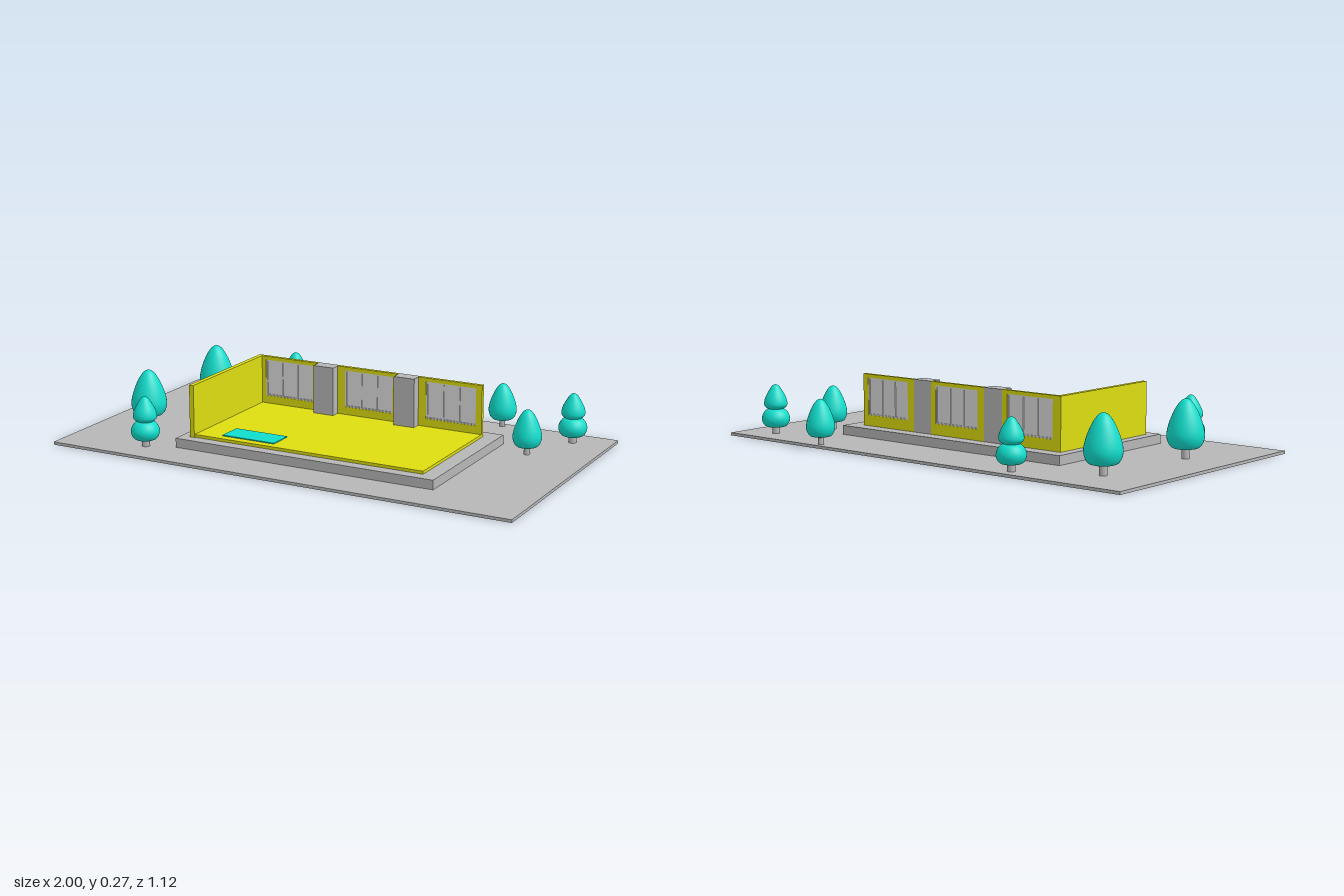
import * as THREE from 'three';

const mat = (name, color) => {
  const m = new THREE.MeshStandardMaterial({ color });
  m.name = name;
  return m;
};

export function createModel() {
  const grey = mat('stone grey', 0xb6b6b6);
  const yellow = mat('wall yellow', 0xdddd11);
  const teal = mat('leaf teal', 0x11ddcc);
  const pale = mat('window grey', 0xdddddd);
  const model = new THREE.Group();
  model.name = 'pavilion';

  const add = (parent, name, geometry, material) => {
    const mesh = new THREE.Mesh(geometry, material);
    mesh.name = name;
    parent.add(mesh);
    return mesh;
  };
  // Box given by its limits on each axis
  const box = (parent, name, material, [x0, x1], [y0, y1], [z0, z1]) => {
    const g = new THREE.BoxGeometry(x1 - x0, y1 - y0, z1 - z0);
    g.translate((x0 + x1) / 2, (y0 + y1) / 2, (z0 + z1) / 2);
    return add(parent, name, g, material);
  };

  // Ground and house base
  box(model, 'ground', grey, [-1, 1], [0, 0.012], [-0.535, 0.556]);
  box(model, 'plinth', grey, [-0.525, 0.61], [0.012, 0.05], [-0.271, 0.387]);
  box(model, 'floor', yellow, [-0.464, 0.546], [0.05, 0.062], [-0.195, 0.34]);
  box(model, 'rug', teal, [-0.355, -0.12], [0.062, 0.066], [0.2, 0.306]);
  box(model, 'sideWall', yellow, [-0.484, -0.464], [0.05, 0.265], [-0.195, 0.344]);

  // Columns set into the back wall
  for (const x of [-0.15, 0.22])
    box(model, 'column', grey, [x - 0.046, x + 0.046], [0.05, 0.265], [-0.211, -0.155]);

  // Back wall bays, each with a three-pane window
  const rect = (Type, x0, x1, y0, y1) => {
    const p = new Type();
    p.moveTo(x0, y0);
    p.lineTo(x1, y0);
    p.lineTo(x1, y1);
    p.lineTo(x0, y1);
    p.closePath();
    return p;
  };
  const bays = [
    [-0.484, -0.196, -0.445, -0.22],
    [-0.104, 0.174, -0.07, 0.15],
    [0.266, 0.546, 0.3, 0.52],
  ];
  const sill = 0.095, head = 0.25;
  for (const [x0, x1, w0, w1] of bays) {
    const shape = rect(THREE.Shape, x0, x1, 0.05, 0.265);
    shape.holes.push(rect(THREE.Path, w0, w1, sill, head));
    const wall = new THREE.ExtrudeGeometry(shape, { depth: 0.016, bevelEnabled: false });
    wall.translate(0, 0, -0.211);
    add(model, 'backWall', wall, yellow);

    const win = new THREE.Group();
    win.name = 'window';
    model.add(win);
    box(win, 'glass', pale, [w0, w1], [sill, head], [-0.205, -0.201]);
    for (let i = 0; i <= 3; i++) {
      const x = w0 + 0.003 + ((w1 - w0 - 0.006) * i) / 3;
      box(win, 'mullion', pale, [x - 0.003, x + 0.003], [sill, head], [-0.209, -0.197]);
    }
    for (const y of [sill, head - 0.005])
      box(win, 'rail', pale, [w0, w1], [y, y + 0.005], [-0.209, -0.197]);
  }

  // Smooth crown turned from a few profile points
  const crown = (points) => {
    const curve = new THREE.SplineCurve(points.map(([r, y]) => new THREE.Vector2(r, y)));
    const profile = curve.getPoints(28);
    profile.forEach((p) => { p.x = Math.max(p.x, 0); });
    return new THREE.LatheGeometry(profile, 32);
  };
  const drop = crown([[0, 0.03], [0.03, 0.031], [0.048, 0.04], [0.058, 0.068],
    [0.052, 0.105], [0.035, 0.148], [0.016, 0.176], [0, 0.184]]);
  const lower = crown([[0, 0.026], [0.035, 0.028], [0.051, 0.04], [0.058, 0.062],
    [0.051, 0.085], [0.034, 0.102], [0, 0.112]]);
  const upper = crown([[0, 0.098], [0.028, 0.102], [0.044, 0.113], [0.048, 0.127],
    [0.042, 0.151], [0.026, 0.181], [0.013, 0.199], [0, 0.205]]);

  // Trees: x, z, scale, two-tiered or not
  const trees = [
    [-0.77, -0.325, 1.27, false],
    [-0.8, 0.16, 1.27, false],
    [0.505, -0.503, 1, false],
    [0.745, -0.19, 1, false],
    [-0.46, -0.475, 1, true],
    [0.845, -0.425, 1, true],
    [-0.643, 0.425, 1, true],
  ];
  for (const [x, z, s, tiered] of trees) {
    const tree = new THREE.Group();
    tree.name = 'tree';
    tree.position.set(x, 0.012, z);
    tree.scale.setScalar(s);
    const r = tiered ? 0.016 : 0.012;
    const trunk = new THREE.CylinderGeometry(r, r, 0.04, 20);
    trunk.translate(0, 0.02, 0);
    add(tree, 'trunk', trunk, grey);
    if (tiered) {
      add(tree, 'lowerCrown', lower, teal);
      add(tree, 'upperCrown', upper, teal);
    } else add(tree, 'crown', drop, teal);
    model.add(tree);
  }
  return model;
}
